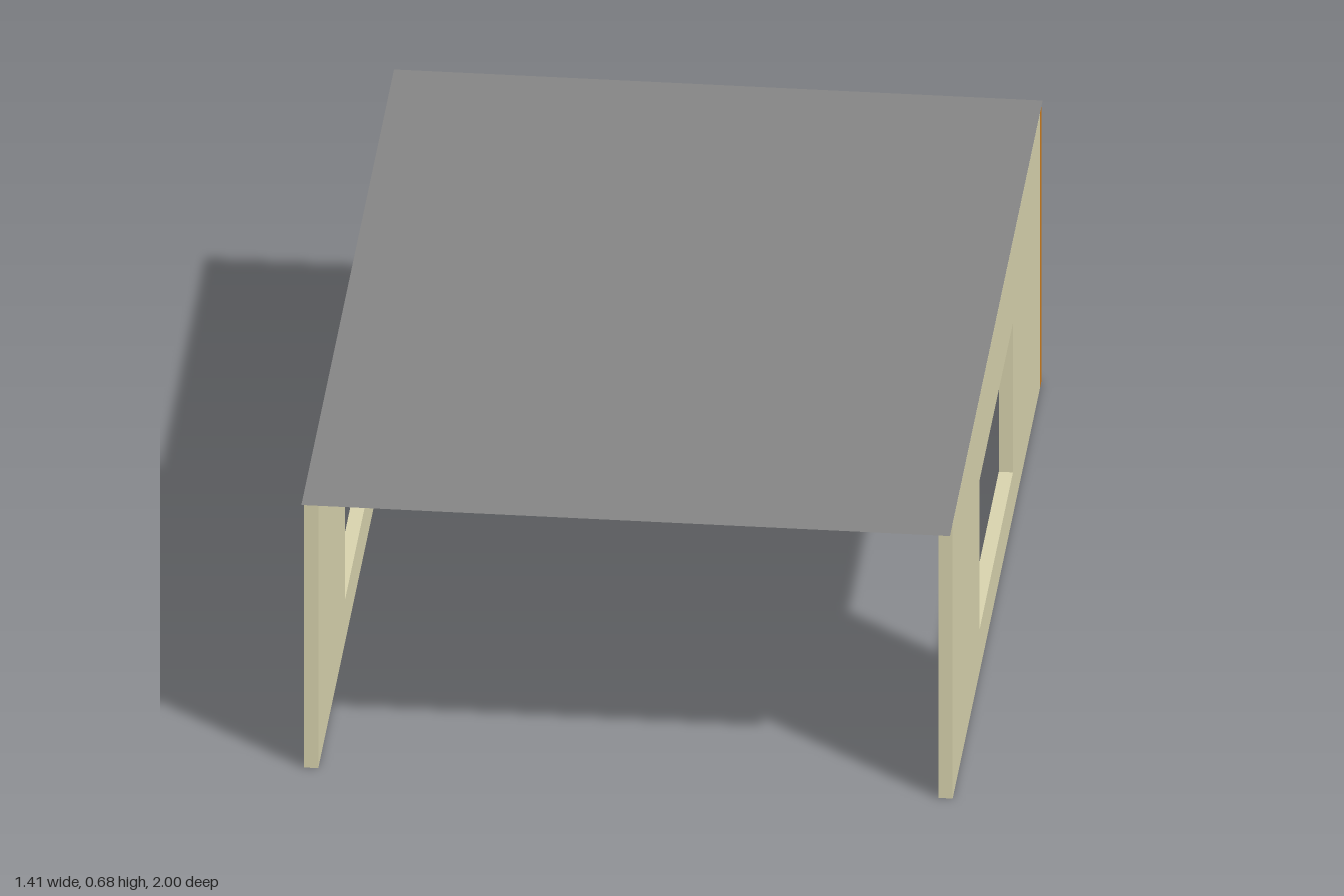
import * as THREE from 'three';

const W = 0.707;   // half width
const H = 0.677;   // wall height
const T = 0.031;   // wall thickness
const D = 0.942;   // half length of the side walls

const paint = (color, side = THREE.FrontSide) => new THREE.MeshStandardMaterial({ color, side });

function rect(PathType, x0, y0, x1, y1) {
  const p = new PathType();
  p.moveTo(x0, y0);
  p.lineTo(x1, y0);
  p.lineTo(x1, y1);
  p.lineTo(x0, y1);
  p.closePath();
  return p;
}

export function createModel() {
  const model = new THREE.Group();
  const add = (name, geometry, material, x, y, z) => {
    const mesh = new THREE.Mesh(geometry, material);
    mesh.name = name;
    mesh.position.set(x, y, z);
    model.add(mesh);
    return mesh;
  };

  // Side walls, each with one window opening
  const outline = rect(THREE.Shape, -D, 0, D, H);
  outline.holes.push(rect(THREE.Path, -0.36, 0.105, 0.36, 0.473));
  const sideGeometry = new THREE.ExtrudeGeometry(outline, { depth: T, bevelEnabled: false });
  sideGeometry.rotateY(Math.PI / 2);
  const cream = paint(0xd9d4ae);
  add('leftWall', sideGeometry, cream, W - T, 0, 0);
  add('rightWall', sideGeometry, cream, -W, 0, 0);

  // Solid back wall across the full width
  add('backWall', new THREE.BoxGeometry(2 * W, H, T), paint(0xcc7a1a), 0, H / 2, -D - T / 2);

  // Flat panel on the inside of the back wall
  add('wallPanel', new THREE.PlaneGeometry(0.706, 0.47), paint(0xb4b4b4), 0.019, 0.393, -D + 0.003);

  // Thin roof sheet overhanging front and back
  const roof = add('roof', new THREE.PlaneGeometry(2 * W, 2), paint(0x868686, THREE.DoubleSide), 0, H + 0.001, 0);
  roof.rotation.x = -Math.PI / 2;

  return model;
}
